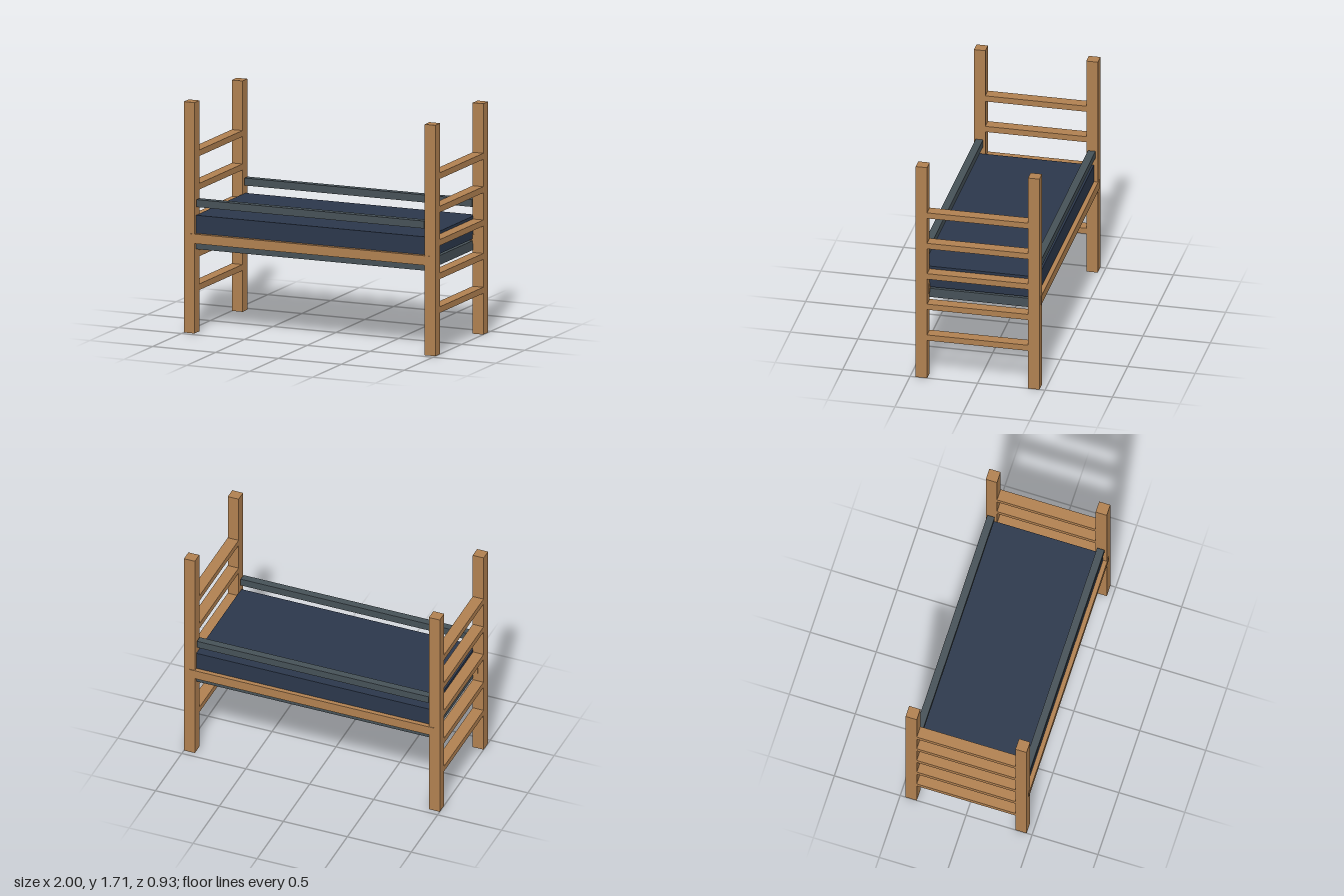
import * as THREE from 'three';

export function createModel() {
  const group = new THREE.Group();
  const wood = new THREE.MeshStandardMaterial({ color: 0xb08050 });
  const navy = new THREE.MeshStandardMaterial({ color: 0x2b374b });
  const slate = new THREE.MeshStandardMaterial({ color: 0x465157 });

  // Box given by its size, centre x and z, and bottom height
  function box(name, material, [w, h, d], x, bottom, z) {
    const mesh = new THREE.Mesh(new THREE.BoxGeometry(w, h, d), material);
    mesh.position.set(x, bottom + h / 2, z);
    mesh.name = name;
    group.add(mesh);
  }

  const postSize = 0.085, postX = 0.9575, postZ = 0.4165;
  const rungHeights = [0.305, 0.555, 0.802, 1.048, 1.295];

  // Ladder ends: two posts and five rungs each
  for (const [side, sx] of [['left', 1], ['right', -1]]) {
    for (const [end, sz] of [['Front', 1], ['Back', -1]]) {
      box(`${side}${end}Post`, wood, [postSize, 1.706, postSize], sx * postX, 0, sz * postZ);
    }
    rungHeights.forEach((y, i) => {
      box(`${side}Rung${i + 1}`, wood, [postSize, 0.045, 0.75], sx * postX, y, 0);
    });
  }

  // Side rails and the floating guard bars above them
  for (const [end, sz] of [['front', 1], ['back', -1]]) {
    box(`${end}SideRail`, wood, [1.91, 0.07, 0.093], 0, 0.665, sz * 0.4165);
    box(`${end}GuardBar`, slate, [1.81, 0.055, 0.055], 0, 0.932, sz * 0.4165);
  }

  // Sleeping surface
  box('bedBase', slate, [1.835, 0.07, 0.86], 0, 0.618, 0);
  box('mattress', navy, [1.835, 0.167, 0.86], 0, 0.701, 0);

  return group;
}
